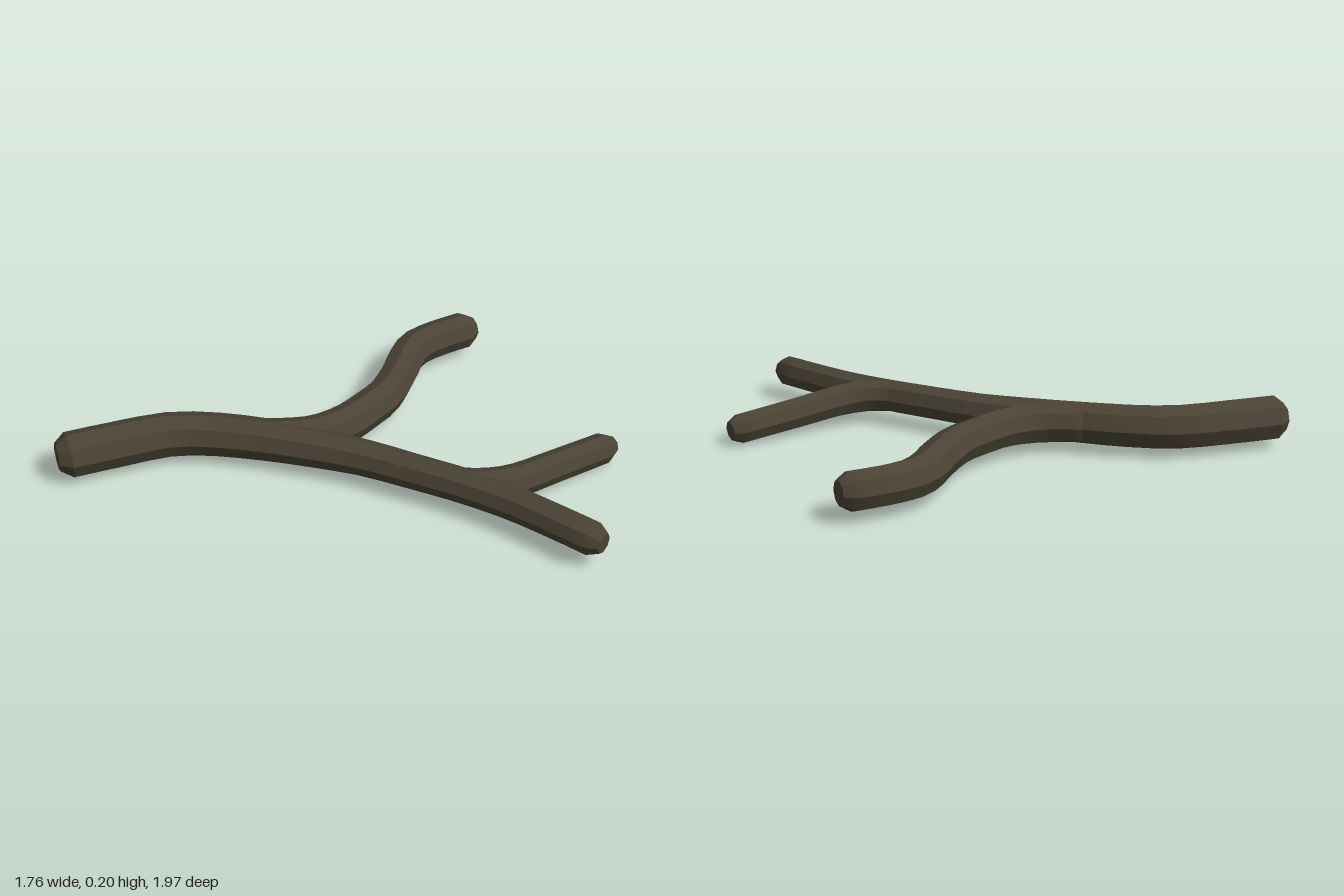
import * as THREE from 'three';
import { toCreasedNormals } from 'three/addons/utils/BufferGeometryUtils.js';

const SIDES = 8;

// Octagonal limb swept along points [x, y, z, radius], with chamfered ends
function limb(name, points, steps, material) {
  const curve = new THREE.CatmullRomCurve3(points.map(p => new THREE.Vector3(p[0], p[1], p[2])), false, 'centripetal');
  const length = curve.getLength();
  const chamfer = 0.045 / length;
  const stops = [0, chamfer];
  for (let i = 1; i < steps; i++) stops.push(chamfer + (1 - 2 * chamfer) * i / steps);
  stops.push(1 - chamfer, 1);

  const positions = [], index = [];
  stops.forEach((u, row) => {
    const t = curve.getUtoTmapping(u);
    const centre = curve.getPoint(t);
    const tangent = curve.getTangent(t);
    const side = new THREE.Vector3(0, 1, 0).cross(tangent).normalize();
    const up = tangent.clone().cross(side);
    // radius follows the control points, shrinking at both tips
    const f = t * (points.length - 1);
    const k = Math.min(Math.floor(f), points.length - 2);
    let r = THREE.MathUtils.lerp(points[k][3], points[k + 1][3], f - k);
    if (row === 0 || row === stops.length - 1) r *= 0.62;
    for (let j = 0; j < SIDES; j++) {
      const a = j / SIDES * Math.PI * 2;
      const p = centre.clone().addScaledVector(side, Math.cos(a) * r).addScaledVector(up, Math.sin(a) * r);
      positions.push(p.x, p.y, p.z);
    }
  });
  const rows = stops.length;
  for (let i = 0; i < rows - 1; i++) {
    for (let j = 0; j < SIDES; j++) {
      const a = i * SIDES + j, b = i * SIDES + (j + 1) % SIDES;
      index.push(a, b, b + SIDES, a, b + SIDES, a + SIDES);
    }
  }
  // flat end caps
  const last = (rows - 1) * SIDES;
  for (let j = 1; j < SIDES - 1; j++) {
    index.push(0, j + 1, j, last, last + j, last + j + 1);
  }
  const geometry = new THREE.BufferGeometry();
  geometry.setAttribute('position', new THREE.Float32BufferAttribute(positions, 3));
  geometry.setIndex(index);
  const mesh = new THREE.Mesh(toCreasedNormals(geometry, 0.6), material);
  mesh.name = name;
  return mesh;
}

export function createModel() {
  const bark = new THREE.MeshStandardMaterial({ color: 0x4a4335 });
  bark.name = 'dark bark';

  const model = new THREE.Group();
  model.name = 'forkedBranch';

  // main stem, thick at the back and thin at the front
  model.add(limb('mainStem', [
    [-0.84, 0.113, -0.925, 0.09], [-0.65, 0.113, -0.81, 0.09], [-0.47, 0.113, -0.69, 0.088],
    [-0.38, 0.113, -0.58, 0.086], [-0.28, 0.113, -0.4, 0.084], [-0.195, 0.113, -0.2, 0.078],
    [-0.125, 0.113, 0, 0.071], [-0.078, 0.113, 0.2, 0.068], [-0.034, 0.113, 0.4, 0.067],
    [-0.007, 0.113, 0.6, 0.065], [0, 0.113, 0.8, 0.064], [0, 0.113, 0.995, 0.064],
  ], 22, bark));

  // long wavy side branch
  model.add(limb('longBranch', [
    [-0.285, 0.113, -0.43, 0.072], [-0.215, 0.113, -0.325, 0.078], [-0.13, 0.113, -0.24, 0.08],
    [0, 0.114, -0.192, 0.078], [0.12, 0.114, -0.185, 0.076], [0.24, 0.114, -0.187, 0.076],
    [0.42, 0.114, -0.245, 0.076], [0.52, 0.114, -0.287, 0.076], [0.6, 0.114, -0.3, 0.076],
    [0.7, 0.114, -0.277, 0.076], [0.875, 0.114, -0.205, 0.076],
  ], 20, bark));

  // short side branch, drooping towards its tip
  model.add(limb('shortBranch', [
    [-0.07, 0.113, 0.27, 0.058], [-0.028, 0.113, 0.395, 0.064], [0.03, 0.112, 0.475, 0.066],
    [0.12, 0.104, 0.53, 0.065], [0.3, 0.087, 0.585, 0.063], [0.585, 0.062, 0.67, 0.061],
  ], 12, bark));

  return model;
}
